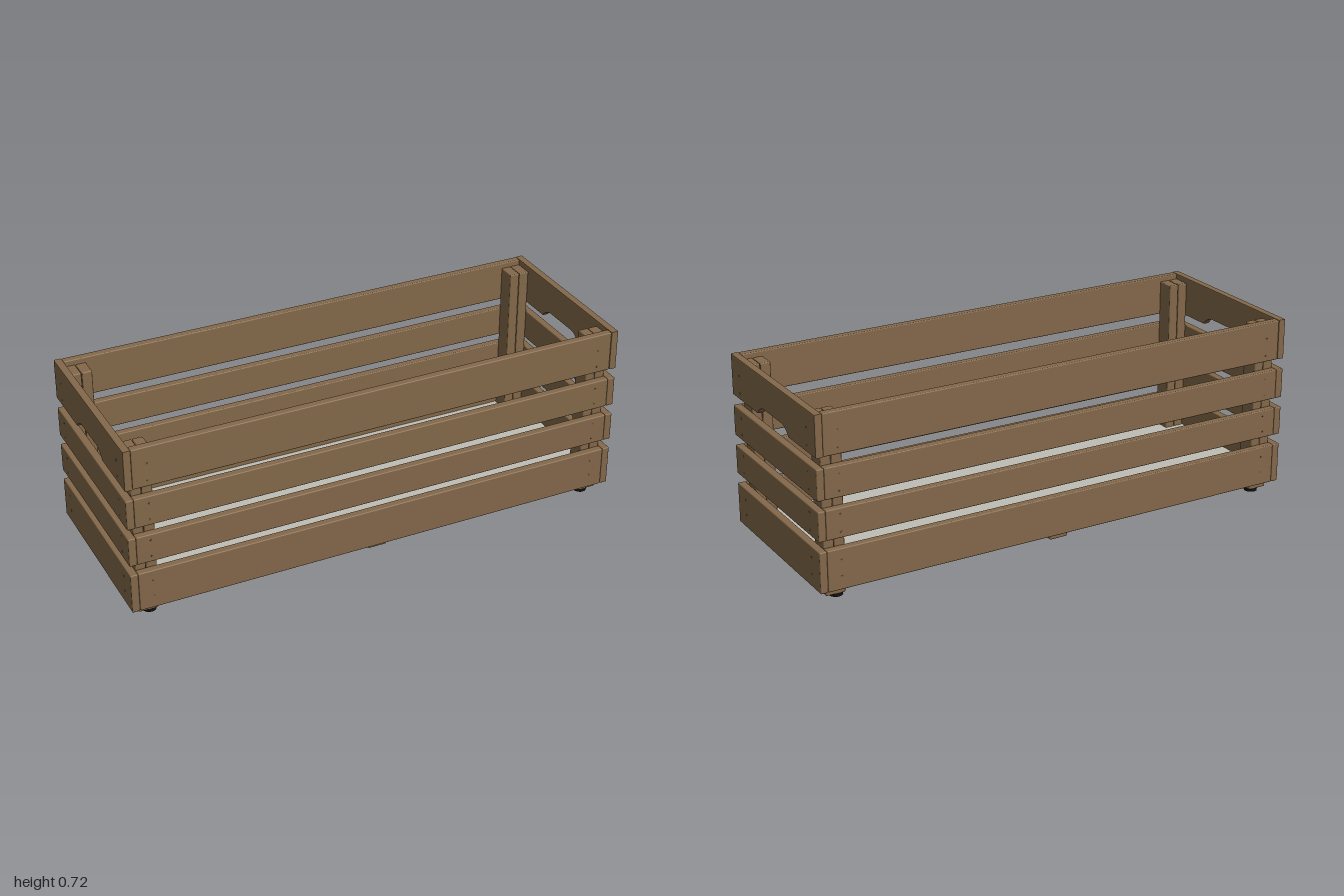
import * as THREE from 'three';
import { RoundedBoxGeometry } from 'three/addons/geometries/RoundedBoxGeometry.js';

export function createModel() {
  const crate = new THREE.Group();
  crate.name = 'slattedCrate';

  const material = (name, color) => {
    const m = new THREE.MeshStandardMaterial({ color });
    m.name = name;
    return m;
  };
  const wood = material('wood', 0x84694a);
  const screwBrown = material('screwBrown', 0x6b553b);
  const linerGrey = material('linerGrey', 0xbebeb7);
  const rubber = material('rubber', 0x111111);

  const add = (name, geometry, mat, x, y, z) => {
    const mesh = new THREE.Mesh(geometry, mat);
    mesh.name = name;
    mesh.position.set(x, y, z);
    crate.add(mesh);
    return mesh;
  };
  // Board with slightly eased edges, given by its limits
  const board = (name, x0, x1, y0, y1, z0, z1) =>
    add(name, new RoundedBoxGeometry(x1 - x0, y1 - y0, z1 - z0, 2, 0.004), wood,
      (x0 + x1) / 2, (y0 + y1) / 2, (z0 + z1) / 2);

  const X = 1, Z = 0.36, T = 0.03;
  const rows = [[0.043, 0.203], [0.243, 0.358], [0.398, 0.518], [0.56, 0.72]];
  const screwRows = [0.097, 0.161, 0.267, 0.334, 0.422, 0.488, 0.585, 0.653];

  // Top end board with a hand hold cut into its lower edge
  const grip = new THREE.Shape();
  grip.moveTo(-Z, 0.56);
  grip.lineTo(-0.133, 0.56);
  grip.quadraticCurveTo(-0.108, 0.593, -0.073, 0.593);
  grip.lineTo(0.073, 0.593);
  grip.quadraticCurveTo(0.108, 0.593, 0.133, 0.56);
  grip.lineTo(Z, 0.56);
  grip.lineTo(Z, 0.72);
  grip.lineTo(-Z, 0.72);
  const gripGeometry = new THREE.ExtrudeGeometry(grip, {
    depth: T - 0.008, bevelThickness: 0.004, bevelSize: 0.004,
    bevelOffset: -0.004, bevelSegments: 2, curveSegments: 10,
  });
  gripGeometry.translate(0, 0, -(T - 0.008) / 2);
  gripGeometry.rotateY(Math.PI / 2);

  // Wall slats
  for (const s of [-1, 1]) {
    rows.forEach(([y0, y1], i) => {
      const zc = s * (Z - T / 2), xc = s * (X - T / 2);
      board('longSlat', -X + T, X - T, y0, y1, zc - T / 2, zc + T / 2);
      if (i < 3) board('endSlat', xc - T / 2, xc + T / 2, y0, y1, -Z, Z);
      else add('handleSlat', gripGeometry, wood, xc, 0, 0);
    });
  }

  // Corner posts in two battens, feet and screw heads
  const screw = new THREE.CylinderGeometry(0.004, 0.004, 0.002, 10);
  const foot = new THREE.CylinderGeometry(0.026, 0.026, 0.014, 24);
  for (const sx of [-1, 1]) for (const sz of [-1, 1]) {
    for (const px of [0.907, 0.949]) {
      board('cornerPost', sx * px - 0.02, sx * px + 0.02, 0.075, 0.7,
        sz * 0.2925 - 0.0365, sz * 0.2925 + 0.0365);
    }
    add('foot', foot, rubber, sx * 0.915, 0.007, sz * 0.3);
    for (const y of screwRows) {
      add('endScrew', screw, screwBrown, sx * X, y, sz * 0.29).rotation.z = Math.PI / 2;
      add('longScrew', screw, screwBrown, sx * 0.914, y, sz * Z).rotation.x = Math.PI / 2;
    }
  }

  // Floor boards and the thin liner on top
  const count = 6, pitch = 0.66 / count;
  for (let i = 0; i < count; i++) {
    const z = -0.33 + pitch * i;
    board('floorBoard', -X + T, X - T, 0.045, 0.073, z + 0.003, z + pitch - 0.003);
  }
  add('floorLiner', new THREE.BoxGeometry(1.94, 0.004, 0.66), linerGrey, 0, 0.076, 0);

  // Cross beams under the floor
  for (const x of [-0.927, 0, 0.927]) {
    board('crossBeam', x - 0.038, x + 0.038, 0.013, 0.045, -0.327, 0.327);
  }

  return crate;
}
